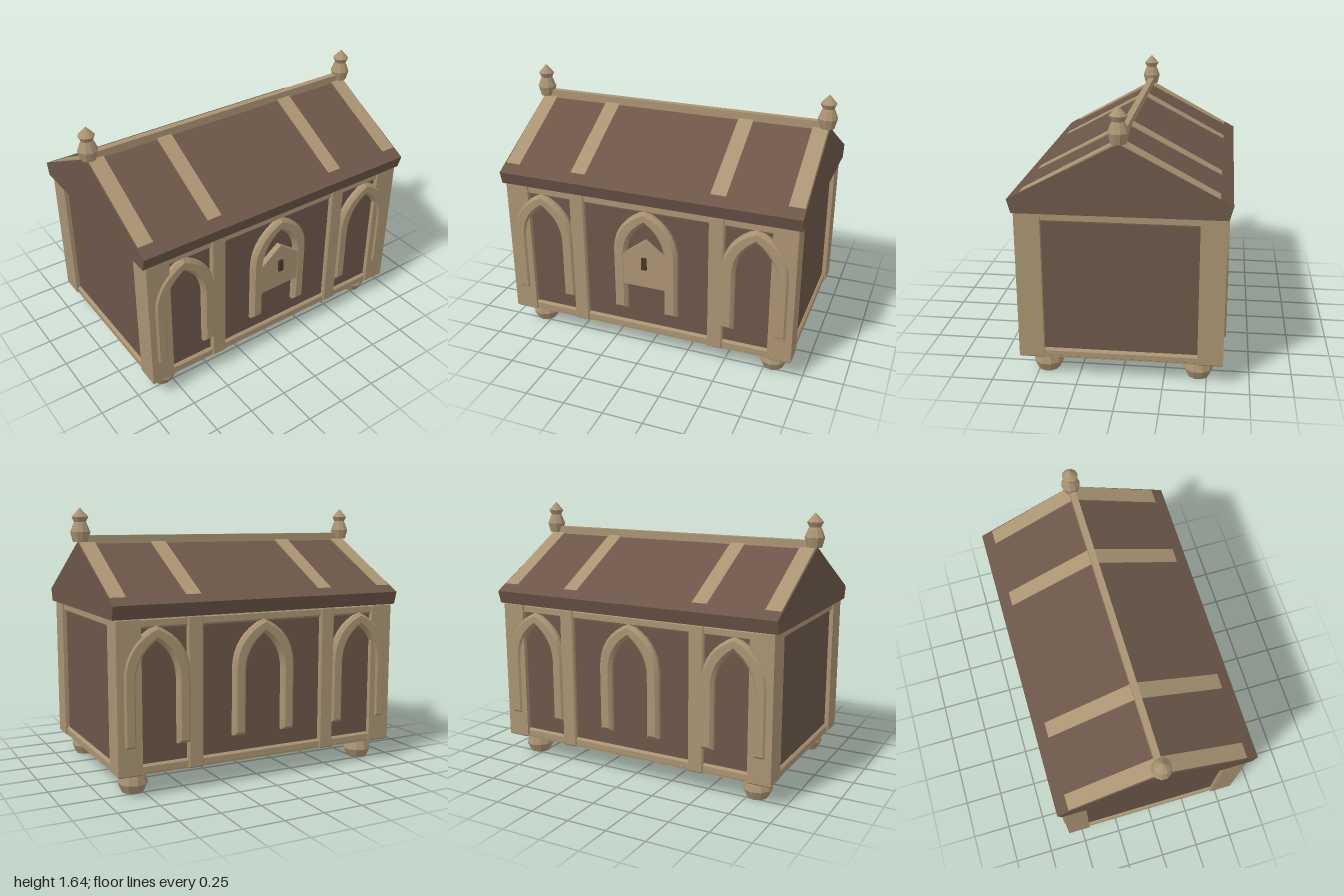
import * as THREE from 'three';

const wood = new THREE.MeshStandardMaterial({ color: 0x6b5648 });
wood.name = 'brown wood';
const trim = new THREE.MeshStandardMaterial({ color: 0xa99372 });
trim.name = 'pale trim';
const dark = new THREE.MeshStandardMaterial({ color: 0x4a3529 });
dark.name = 'dark keyhole';

function add(parent, name, geometry, material, x = 0, y = 0, z = 0) {
  const mesh = new THREE.Mesh(geometry, material);
  mesh.name = name;
  mesh.position.set(x, y, z);
  parent.add(mesh);
  return mesh;
}

const polygon = (points) => new THREE.Shape(points.map(([x, y]) => new THREE.Vector2(x, y)));

// Rectangle from (x0, y0) to (x1, y1)
const rect = (x0, y0, x1, y1) => polygon([[x0, y0], [x1, y0], [x1, y1], [x0, y1]]);

// Relief with chamfered edges, from z0 to z1, kept inside the outline
function relief(shape, z0, z1, bevel) {
  const g = new THREE.ExtrudeGeometry(shape, {
    depth: z1 - z0 - 2 * bevel, bevelEnabled: true, bevelSegments: 1,
    bevelSize: bevel, bevelThickness: bevel, bevelOffset: -bevel, curveSegments: 8,
  });
  return g.translate(0, 0, z0 + bevel);
}

// Faceted turned part
function turned(points, sides) {
  const g = new THREE.LatheGeometry(points.map(([r, y]) => new THREE.Vector2(r, y)), sides).toNonIndexed();
  g.computeVertexNormals();
  return g;
}

// Pointed arch band standing on two square legs
function archShape() {
  const s = new THREE.Shape();
  s.moveTo(-0.208, 0.29);
  s.lineTo(-0.125, 0.29);
  s.lineTo(-0.125, 0.68);
  s.quadraticCurveTo(-0.12, 0.82, 0, 0.9);
  s.quadraticCurveTo(0.12, 0.82, 0.125, 0.68);
  s.lineTo(0.125, 0.29);
  s.lineTo(0.208, 0.29);
  s.lineTo(0.208, 0.7);
  s.quadraticCurveTo(0.2, 0.9, 0, 0.985);
  s.quadraticCurveTo(-0.2, 0.9, -0.208, 0.7);
  s.closePath();
  return s;
}

// Rails, intermediate posts and arches of one long wall
function longWall(name) {
  const wall = new THREE.Group();
  wall.name = name;
  const rails = [['lowerRail', 0.13, 0.19], ['upperRail', 0.97, 1.03]];
  for (const [label, y0, y1] of rails) {
    add(wall, label, relief(rect(-0.8, y0, 0.8, y1), 0.53, 0.583, 0.012), trim);
  }
  for (const x of [-0.453, 0.453]) {
    add(wall, 'wallPost', relief(rect(-0.049, 0.13, 0.049, 1.03), 0.53, 0.592, 0.008), trim, x);
  }
  for (const x of [-0.695, 0, 0.695]) {
    add(wall, 'arch', relief(archShape(), 0.54, 0.605, 0.018), trim, x);
  }
  return wall;
}

// Rails of one short wall, built facing +z and then turned
function endWall(name) {
  const wall = new THREE.Group();
  wall.name = name;
  for (const [label, y0, y1] of [['lowerRail', 0.13, 0.185], ['upperRail', 0.97, 1.03]]) {
    add(wall, label, relief(rect(-0.46, y0, 0.46, y1), 0.88, 0.928, 0.012), trim);
  }
  return wall;
}

export function createModel() {
  const model = new THREE.Group();
  model.name = 'gabledChest';

  // Body and underside
  add(model, 'body', new THREE.BoxGeometry(1.82, 0.89, 1.13), wood, 0, 0.585, 0);
  add(model, 'basePlate', new THREE.BoxGeometry(1.85, 0.01, 1.16), trim, 0, 0.136, 0);

  // Walls
  const front = longWall('frontWall');
  const back = longWall('backWall');
  back.rotation.y = Math.PI;
  const left = endWall('leftWall');
  left.rotation.y = Math.PI / 2;
  const right = endWall('rightWall');
  right.rotation.y = -Math.PI / 2;
  model.add(front, back, left, right);

  // Corner posts and feet
  const foot = turned([[0, 0], [0.065, 0], [0.09, 0.055], [0.075, 0.11], [0.055, 0.14]], 10);
  for (const x of [-1, 1]) {
    for (const z of [-1, 1]) {
      const post = relief(rect(-0.074, -0.074, 0.074, 0.074), 0, 0.9, 0.008);
      post.rotateX(-Math.PI / 2);
      add(model, 'cornerPost', post, trim, x * 0.863, 0.13, z * 0.52);
      add(model, 'foot', foot, trim, x * 0.8, 0, z * 0.45);
    }
  }

  // Lock plate with gabled top, and keyhole
  const plate = polygon([[-0.15, 0.475], [0.15, 0.475], [0.15, 0.675], [0, 0.79], [-0.15, 0.675]]);
  add(model, 'lockPlate', new THREE.ExtrudeGeometry(plate, { depth: 0.045, bevelEnabled: false }), trim, 0, 0, 0.558);
  add(model, 'keyhole', new THREE.BoxGeometry(0.032, 0.08, 0.03), dark, 0, 0.64, 0.602);

  // Roof prism, running along x
  const gable = polygon([[-0.6, 1.028], [0.6, 1.028], [0.622, 1.108], [0, 1.435], [-0.622, 1.108]]);
  const roof = new THREE.ExtrudeGeometry(gable, { depth: 1.92, bevelEnabled: false });
  roof.translate(0, 0, -0.96).rotateY(Math.PI / 2);
  add(model, 'roof', roof, wood);

  // Roof bands over both slopes
  const band = polygon([[-0.55, 1.148], [0, 1.42], [0.55, 1.148], [0, 1.447]]);
  for (const x of [-0.905, -0.453, 0.445, 0.905]) {
    const g = new THREE.ExtrudeGeometry(band, { depth: 0.096, bevelEnabled: false });
    g.translate(0, 0, -0.048).rotateY(Math.PI / 2);
    add(model, 'roofBand', g, trim, x);
  }

  // Ridge bar
  const ridge = relief(rect(-0.02, 1.425, 0.02, 1.475), -0.94, 0.94, 0.006);
  add(model, 'ridgeBar', ridge.rotateY(Math.PI / 2), trim);

  // Finials at both ends of the ridge
  const finial = turned([
    [0, 1.435], [0.045, 1.435], [0.06, 1.495], [0.04, 1.545], [0.035, 1.555], [0.05, 1.585], [0, 1.64],
  ], 10);
  for (const x of [-0.94, 0.94]) add(model, 'finial', finial, trim, x);

  return model;
}
